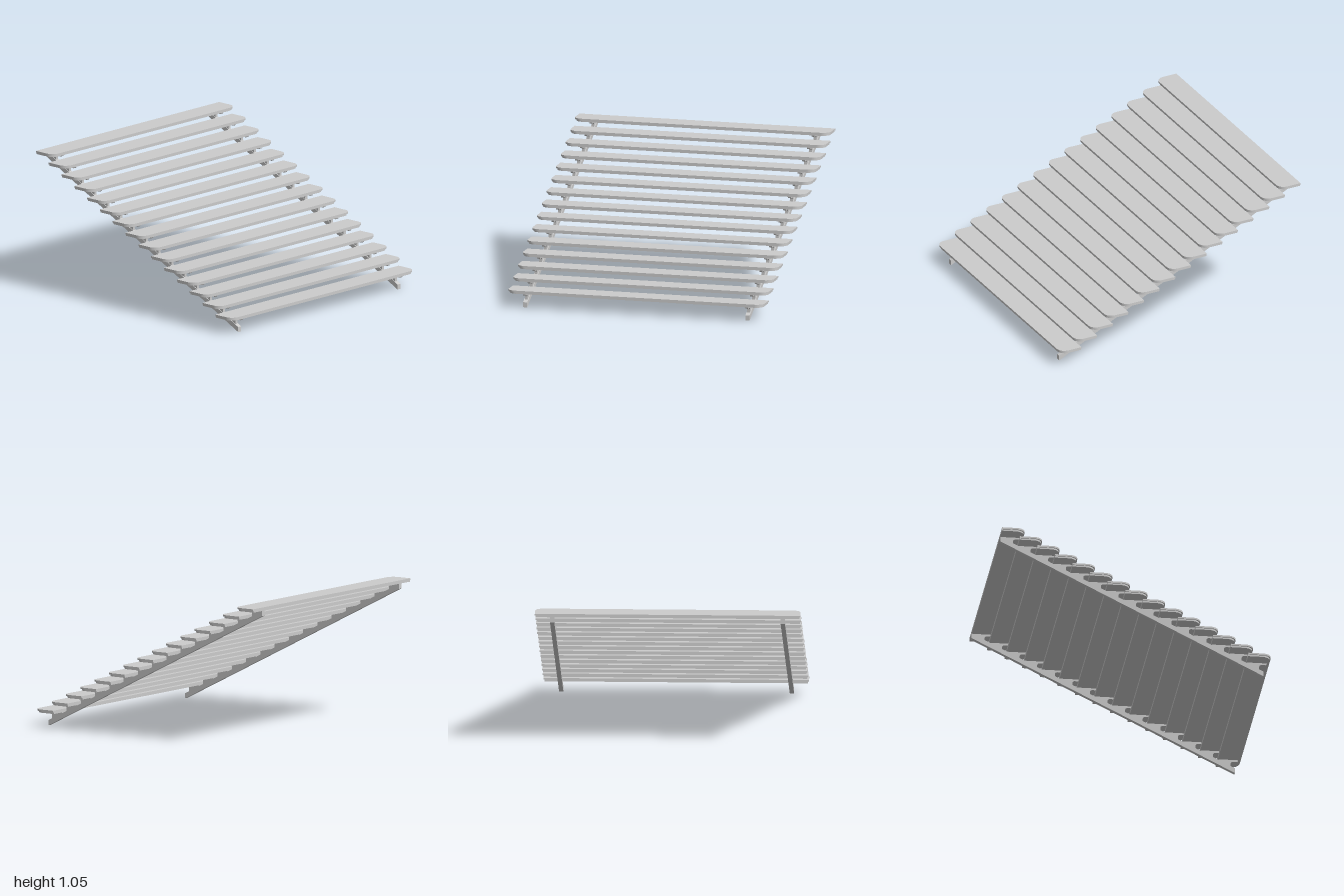
import * as THREE from 'three';

const STEPS = 15, RUN = 0.1305, RISE = 0.0653;
const TOP = 1.046, DEPTH = 0.173, HALF_WIDTH = 0.978, THICK = 0.025;
const material = new THREE.MeshStandardMaterial({ color: 0xcccccc });

// Horizontal board with a straight back edge and two rounded nosing corners
function boardGeometry(inset, yBottom, height) {
  const w = HALF_WIDTH - inset, d = DEPTH - inset, r = 0.062;
  const s = new THREE.Shape();
  s.moveTo(0, -w);
  s.lineTo(d - r, -w);
  s.absarc(d - r, -w + r, r, -Math.PI / 2, 0, false);
  s.lineTo(d, w - r);
  s.absarc(d - r, w - r, r, 0, Math.PI / 2, false);
  s.lineTo(0, w);
  s.closePath();
  const g = new THREE.ExtrudeGeometry(s, { depth: height, bevelEnabled: false, curveSegments: 10 });
  return g.rotateX(-Math.PI / 2).translate(0, yBottom, 0);
}

// Upright plate in the x-y plane, centred on z = 0
function plateGeometry(shape, thickness) {
  return new THREE.ExtrudeGeometry(shape, { depth: thickness, bevelEnabled: false, curveSegments: 6 })
    .translate(0, 0, -thickness / 2);
}

function add(parent, name, geometry, x, y, z) {
  const mesh = new THREE.Mesh(geometry, material);
  mesh.name = name;
  mesh.position.set(x, y, z);
  parent.add(mesh);
}

export function createModel() {
  const model = new THREE.Group();
  model.name = 'staircase';

  // Tread: upper board with a slightly recessed lower layer
  const upper = boardGeometry(0, -0.013, 0.013);
  const lower = boardGeometry(0.007, -THICK, THICK - 0.013);

  // Bracket: flat arm under the tread that curves into a web on the stringer
  const b = new THREE.Shape();
  b.moveTo(0.004, -THICK);
  b.lineTo(0.004, -0.036);
  b.lineTo(0.095, -0.086);
  b.lineTo(0.095, -0.056);
  b.quadraticCurveTo(0.096, -0.041, 0.112, -0.04);
  b.lineTo(0.143, -0.04);
  b.quadraticCurveTo(0.151, -0.038, 0.152, -THICK);
  b.closePath();
  const bracket = plateGeometry(b, 0.022);

  // Sloping stringer with plumb-cut ends
  const stringer = plateGeometry(new THREE.Shape([
    new THREE.Vector2(-1, 0.983),
    new THREE.Vector2(0.953, 0),
    new THREE.Vector2(0.953, 0.038),
    new THREE.Vector2(-1, 1.021),
  ]), 0.032);

  for (const [side, z] of [['left', -0.85], ['right', 0.85]].map(([n, v]) => [n, v])) {
    add(model, side === 'left' ? 'backStringer' : 'frontStringer', stringer, 0, 0, z);
  }

  for (let i = 0; i < STEPS; i++) {
    const step = new THREE.Group();
    step.name = `step${i + 1}`;
    step.position.set(-1 + i * RUN, TOP - i * RISE, 0);
    add(step, 'treadTop', upper, 0, 0, 0);
    add(step, 'treadUnderside', lower, 0, 0, 0);
    for (const z of [-0.85, 0.85]) add(step, 'bracket', bracket, 0, 0, z);
    model.add(step);
  }
  return model;
}
